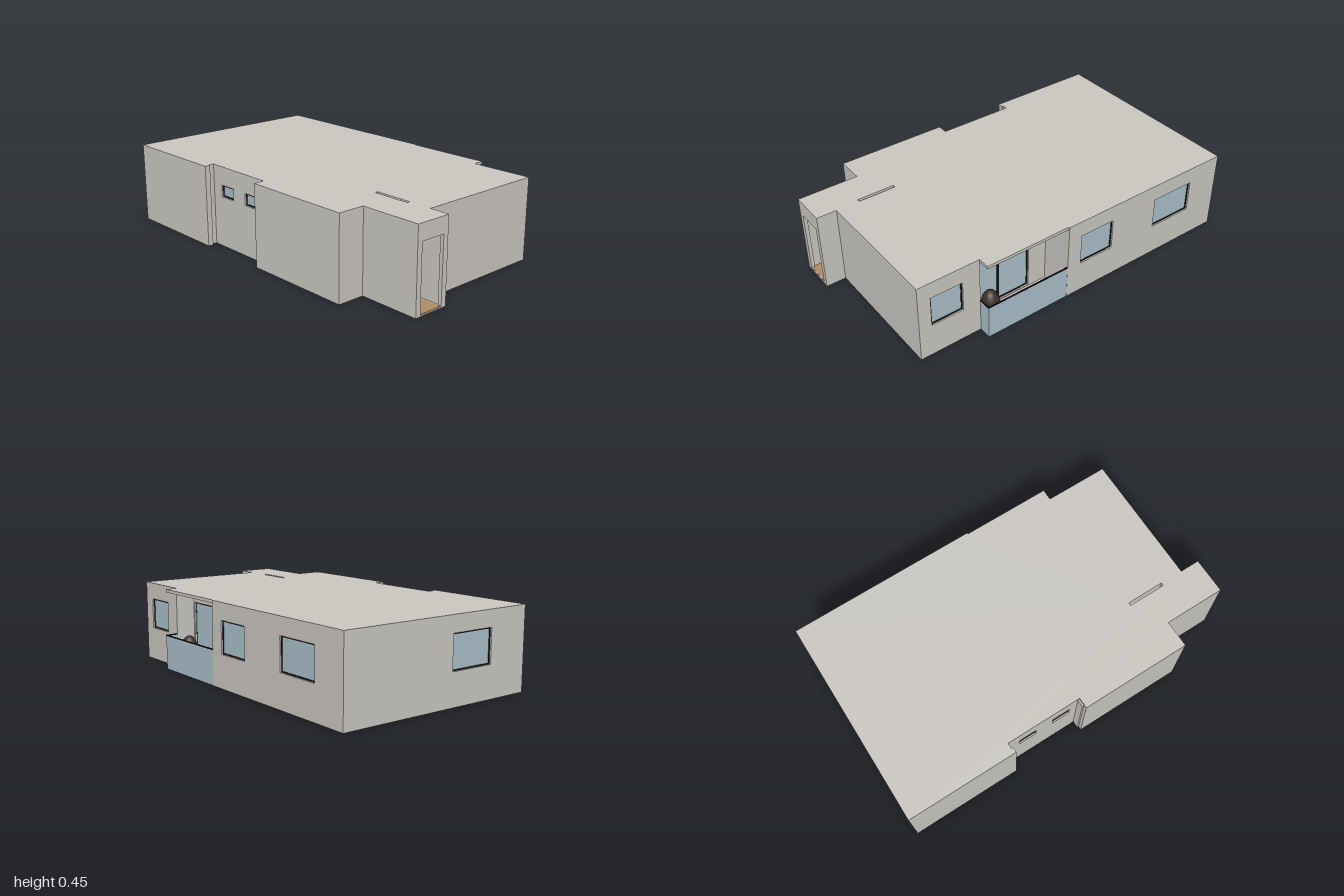
import * as THREE from 'three';

const mat = (name, color, side = THREE.FrontSide) => {
  const m = new THREE.MeshStandardMaterial({ color, side });
  m.name = name;
  return m;
};

export function createModel() {
  const model = new THREE.Group();
  model.name = 'apartment';
  const plaster = mat('plaster', 0xc9c6c0);
  const glass = mat('glass', 0xa9bdc8);
  const black = mat('black metal', 0x151515);
  const floorWood = mat('floor wood', 0xb08a66);
  const chairWood = mat('chair wood', 0xa07c50);
  const tableWood = mat('table wood', 0x8a5c3c);
  const wicker = mat('dark wicker', 0x3a302a, THREE.DoubleSide);
  const lampGrey = mat('lamp shade', 0xb8b6b2, THREE.DoubleSide);

  const WALL_H = 0.43, HEIGHT = 0.447, T = 0.02;

  const add = (name, geo, material, parent = model) => {
    const m = new THREE.Mesh(geo, material);
    m.name = name;
    parent.add(m);
    return m;
  };
  // box given by its min and max corners
  const box = (name, x0, x1, y0, y1, z0, z1, material, parent = model) => {
    const m = add(name, new THREE.BoxGeometry(x1 - x0, y1 - y0, z1 - z0), material, parent);
    m.position.set((x0 + x1) / 2, (y0 + y1) / 2, (z0 + z1) / 2);
    return m;
  };
  const rect = (x0, x1, y0, y1, Type = THREE.Shape) =>
    new Type([[x0, y0], [x1, y0], [x1, y1], [x0, y1]].map(p => new THREE.Vector2(...p)));
  const extrude = (shape, depth) => new THREE.ExtrudeGeometry(shape, { depth, bevelEnabled: false });
  // plan shape in x and z, lifted to height y
  const slab = (name, shape, y, depth, material) => {
    const m = add(name, extrude(shape, depth).rotateX(-Math.PI / 2), material);
    m.position.y = y;
  };

  // Outer walls: corners with the openings of the wall that starts there
  // opening: [start, end, bottom, top, panes]; zero panes leaves a doorway
  const front = [[-1, 0.58], [-0.38, 0.58], [-0.38, 0.55],
    [-0.39, 0.55, [[0.004, 0.026, 0.06, 0.36, 1]]],
    [-0.39, 0.52, [[0.068, 0.17, 0.28, 0.345, 1], [0.27, 0.375, 0.28, 0.345, 1]]],
    [0.04, 0.52], [0.04, 0.58], [0.66, 0.58], [0.66, 0.43],
    [1, 0.43, [[0.03, 0.17, 0.006, 0.36, 0]]],
    [1, 0.23], [0.89, 0.23], [0.89, -0.51, [[0.07, 0.25, 0.185, 0.355, 1]]]];
  const back = [[0.05, -0.58, [[0.085, 0.295, 0.18, 0.355, 1], [0.59, 0.85, 0.18, 0.355, 1]]],
    [-1, -0.58, [[0.66, 0.92, 0.175, 0.358, 1]]]];
  const walls = [...front, [0.54, -0.51],
    [0.54, -0.4, [[0.004, 0.38, 0.012, 0.36, 2]]], [0.05, -0.4], ...back];

  const buildOpening = (parent, [u0, u1, y0, y1, panes]) => {
    const f = 0.007, w = (u1 - u0) / panes;
    const frame = rect(u0, u1, y0, y1);
    for (let i = 0; i < panes; i++) {
      frame.holes.push(rect(u0 + i * w + f, u0 + (i + 1) * w - f, y0 + f, y1 - f, THREE.Path));
    }
    add('windowFrame', extrude(frame, 0.008), black, parent).position.z = -0.016;
    box('windowGlass', u0, u1, y0, y1, -0.015, -0.011, glass, parent);
  };

  walls.forEach(([x, z, openings = []], i) => {
    const [nx, nz] = walls[(i + 1) % walls.length];
    const shape = rect(0, Math.hypot(nx - x, nz - z), 0, WALL_H);
    const side = new THREE.Group();
    side.name = 'outerWall';
    side.position.set(x, 0, z);
    side.rotation.y = Math.atan2(z - nz, nx - x);
    for (const o of openings) {
      shape.holes.push(rect(o[0], o[1], o[2], o[3], THREE.Path));
      if (o[4]) buildOpening(side, o);
    }
    add('wallPanel', extrude(shape, T), plaster, side).position.z = -T;
    model.add(side);
  });

  // Roof and base cover the balcony too; a narrow shaft runs through both
  const plan = new THREE.Shape([...front, [0.54, -0.51], [0.54, -0.573], [0.05, -0.573], ...back]
    .map(([x, z]) => new THREE.Vector2(x, -z)));
  const shaft = () => rect(0.55, 0.76, -0.245, -0.228, THREE.Path);
  plan.holes.push(shaft());
  slab('roof', plan, WALL_H, HEIGHT - WALL_H, plaster);
  slab('base', plan, 0.001, 0.005, plaster);
  const shaftWall = rect(0.54, 0.77, -0.255, -0.218);
  shaftWall.holes.push(shaft());
  slab('shaftWall', shaftWall, 0.006, WALL_H - 0.006, plaster);

  // Wooden floors of the rooms: x0, x1, z0, z1
  [[0.05, 0.53, -0.38, 0.565], [0.53, 0.65, 0.26, 0.565], [0.65, 0.995, 0.26, 0.415],
    [-0.43, 0.03, -0.56, -0.09], [-0.98, -0.45, -0.56, -0.09],
    [-0.98, 0.05, -0.07, 0.02], [-0.98, -0.41, 0.04, 0.56]]
    .forEach(([x0, x1, z0, z1]) => box('woodFloor', x0, x1, 0, 0.008, z0, z1, floorWood));

  // Rugs
  [[0.25, 0.42, -0.31, -0.13], [-0.18, -0.06, -0.42, -0.28],
    [-0.75, -0.55, -0.36, -0.22], [-0.86, -0.58, 0.13, 0.32]]
    .forEach(([x0, x1, z0, z1]) => box('rug', x0, x1, -0.0005, 0.01, z0, z1, plaster));

  // Inner walls
  [[0.03, 0.05, -0.56, -0.07], [0.03, 0.05, 0.02, 0.56], [-0.45, -0.43, -0.56, -0.09],
    [-0.98, 0.03, -0.09, -0.07], [-0.98, 0.03, 0.02, 0.04], [-0.41, -0.39, 0.04, 0.56],
    [0.53, 0.55, -0.4, 0.23], [0.53, 0.89, 0.23, 0.25]]
    .forEach(([x0, x1, z0, z1], i) => {
      if (i < 7) box('innerWall', x0, x1, 0.006, WALL_H, z0, z1, plaster);
    });
  box('entryWall', 0.77, 0.89, 0.006, WALL_H, 0.23, 0.25, plaster);

  // Low media cabinet
  box('mediaCabinet', 0.055, 0.1, -0.0005, 0.08, -0.34, -0.07, black);

  // Balcony glass railing with a black handrail
  box('balconyGlass', 0.05, 0.54, 0, 0.187, -0.579, -0.575, glass);
  box('balconySideGlass', 0.537, 0.541, 0, 0.187, -0.579, -0.51, glass);
  box('handrail', 0.05, 0.543, 0.187, 0.193, -0.58, -0.573, black);
  box('sideHandrail', 0.536, 0.543, 0.187, 0.193, -0.58, -0.51, black);

  // Round balcony chair
  const pod = add('balconyChair', new THREE.SphereGeometry(0.05, 20, 12), wicker);
  pod.scale.y = 1.8;
  pod.position.set(0.46, 0.1, -0.48);

  // Dining table on a pedestal
  const cyl = (name, r, h, x, y, z, material) =>
    add(name, new THREE.CylinderGeometry(r, r, h, 32), material).position.set(x, y, z);
  const TX = 0.3, TZ = 0.335;
  cyl('tableTop', 0.055, 0.006, TX, 0.127, TZ, tableWood);
  cyl('tableColumn', 0.011, 0.12, TX, 0.064, TZ, black);
  cyl('tableFoot', 0.043, 0.004, TX, 0.009, TZ, black);

  // Two chairs facing each other across the table
  for (const s of [1, -1]) {
    const chair = new THREE.Group();
    chair.name = 'diningChair';
    chair.position.set(TX, 0, TZ);
    chair.rotation.y = s > 0 ? 0 : Math.PI;
    box('chairSeat', -0.03, 0.03, 0.077, 0.084, 0.018, 0.066, tableWood, chair);
    box('chairBack', -0.03, 0.03, 0.08, 0.151, 0.052, 0.066, chairWood, chair);
    for (const x of [-0.03, 0.024]) {
      box('frontLeg', x, x + 0.006, 0.006, 0.078, 0.018, 0.025, tableWood, chair);
      box('backLeg', x, x + 0.006, 0.006, 0.078, 0.053, 0.06, chairWood, chair);
    }
    model.add(chair);
  }

  // Pendant lamp above the table
  cyl('lampCord', 0.002, 0.1, TX, 0.38, TZ, black);
  cyl('lampShade', 0.035, 0.033, TX, 0.318, TZ, lampGrey);

  return model;
}
